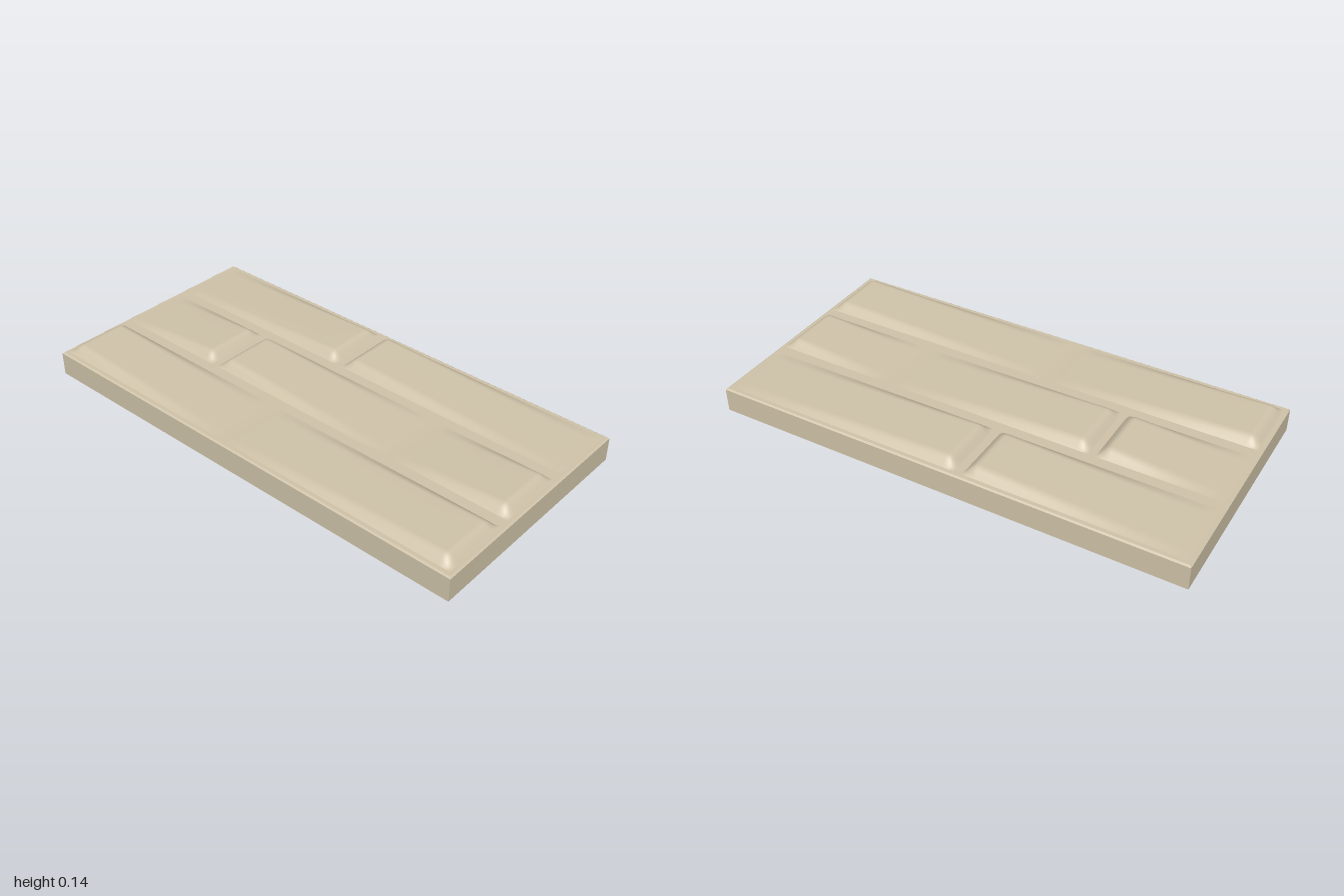
import * as THREE from 'three';

const stone = new THREE.MeshStandardMaterial({ color: 0xcfc3a9 });
stone.name = 'sandstone';

const MORTAR = 0.105; // height of the joints between bricks
const RISE = 0.033; // height of a brick's raised end

// Rounded shoulder: [distance from edge, share of full height]
const SHOULDER = [[0, 0], [0.006, 0.18], [0.012, 0.36], [0.018, 0.54], [0.024, 0.7],
  [0.03, 0.83], [0.036, 0.92], [0.043, 0.98], [0.05, 1]];

// Stations along one side: dense at both shoulders, even between them
function stations(a, b, inner) {
  const out = SHOULDER.map(([d, f]) => [a + d, f]);
  for (let i = 1; i < inner; i++) out.push([a + 0.05 + (b - a - 0.1) * i / inner, 1]);
  for (const [d, f] of [...SHOULDER].reverse()) out.push([b - d, f]);
  return out;
}

// Sloping brick; left and right are the heights (0 to 1) at its two x ends
function makeBrick(name, x0, x1, z0, z1, left, right) {
  const xs = stations(x0, x1, 8);
  const zs = stations(z0, z1, 3);
  const geo = new THREE.PlaneGeometry(1, 1, xs.length - 1, zs.length - 1);
  const pos = geo.attributes.position;
  zs.forEach(([z, fz], j) => xs.forEach(([x, fx], i) => {
    const t = THREE.MathUtils.clamp((x - x0 - 0.04) / (x1 - x0 - 0.08), 0, 1);
    const h = RISE * THREE.MathUtils.lerp(left, right, t);
    pos.setXYZ(j * xs.length + i, x, MORTAR + 0.0003 + h * fx * fz, z);
  }));
  geo.computeVertexNormals();
  const mesh = new THREE.Mesh(geo, stone);
  mesh.name = name;
  return mesh;
}

// Slab with a slim chamfer around its top edge
function makeSlab() {
  const box = new THREE.BoxGeometry(2, 2, 1, 1, 2, 1);
  const pos = box.attributes.position;
  for (let i = 0; i < pos.count; i++) {
    const level = Math.round(pos.getY(i)) + 1;
    const inset = level === 2 ? 0.007 : 0;
    pos.setXYZ(i, pos.getX(i) - Math.sign(pos.getX(i)) * inset,
      [0, 0.1, MORTAR][level], pos.getZ(i) - Math.sign(pos.getZ(i)) * inset);
  }
  const geo = box.toNonIndexed();
  geo.computeVertexNormals();
  const mesh = new THREE.Mesh(geo, stone);
  mesh.name = 'slab';
  return mesh;
}

export function createModel() {
  const model = new THREE.Group();
  model.name = 'brickPanel';
  model.add(makeSlab());

  // Each brick: x start, x end, height at start, height at end
  const low = 0.06;
  const rows = [
    ['back', -0.478, -0.19, [[-0.98, -0.095, low, 1], [-0.06, 0.98, 1, low]]],
    ['middle', -0.145, 0.145, [[-0.98, -0.47, low, 1], [-0.44, 0.43, 1, low], [0.47, 0.98, low, 1]]],
    ['front', 0.19, 0.478, [[-0.98, -0.105, 1, low], [-0.06, 0.98, low, 1]]],
  ];
  for (const [row, z0, z1, bricks] of rows) {
    const group = new THREE.Group();
    group.name = row + 'Row';
    bricks.forEach(([x0, x1, a, b], i) =>
      group.add(makeBrick(row + 'Brick' + (i + 1), x0, x1, z0, z1, a, b)));
    model.add(group);
  }
  return model;
}
